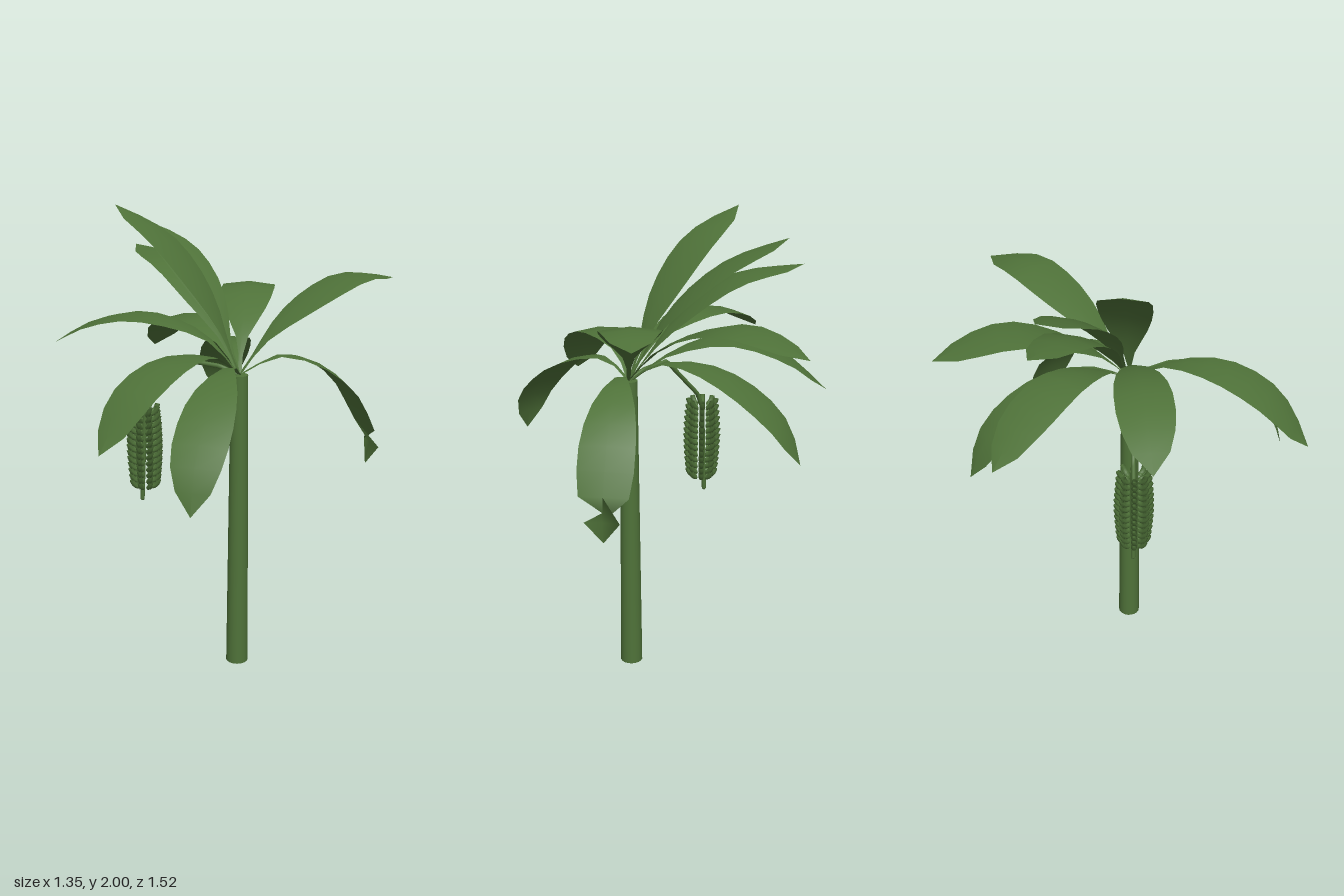
import * as THREE from 'three';
import { mergeGeometries } from 'three/addons/utils/BufferGeometryUtils.js';

const BASE = new THREE.Vector3(0.146, 1.33, 0.031);
const HALF_WIDTHS = [0.008, 0.009, 0.026, 0.06, 0.09, 0.109, 0.118, 0.118, 0.105, 0.074, 0];

// Each leaf: tip position, then [fraction of reach, height] points along the midrib
const LEAVES = [
  { tip: [-0.43, 2.0, -0.025], arc: [[0.25, 1.64], [0.6, 1.875]], width: 0.9 },
  { tip: [-0.42, 1.9, -0.325], arc: [[0.25, 1.6], [0.6, 1.795]], width: 0.9 },
  { tip: [-0.485, 1.79, -0.355], arc: [[0.28, 1.58], [0.6, 1.745]], width: 0.9 },
  { tip: [-0.68, 1.415, 0.09], arc: [[0.18, 1.485], [0.53, 1.565], [0.8, 1.515]], width: 0.96 },
  { tip: [-0.47, 1.29, -0.515], arc: [[0.24, 1.46], [0.5, 1.515], [0.8, 1.435]], width: 0.96 },
  { tip: [-0.155, 1.17, 0.76], arc: [[0.16, 1.42], [0.37, 1.465], [0.57, 1.45], [0.8, 1.36]], width: 0.96 },
  { tip: [0.19, 0.955, 0.712], arc: [[0.1, 1.375], [0.25, 1.4], [0.54, 1.35], [0.76, 1.25], [0.93, 1.12]], width: 0.94 },
  { tip: [-0.18, 1.06, -0.64], arc: [[0.2, 1.42], [0.45, 1.42], [0.7, 1.34], [0.9, 1.21]], width: 0.96 },
  { tip: [0.65, 1.67, -0.575], arc: [[0.2, 1.5], [0.5, 1.645], [0.74, 1.705]], width: 1 },
  { tip: [-0.06, 1.545, -0.765], arc: [[0.16, 1.47], [0.42, 1.59], [0.61, 1.628], [0.8, 1.605]], width: 1 },
  { tip: [0.61, 0.87, -0.355], arc: [[0.3, 1.4], [0.6, 1.35], [0.84, 1.23], [0.96, 1.1], [1.03, 1.0]], width: 0.93, twisted: true },
];

// Blade with a slightly raised midrib, swept along a drooping curve
function leafGeometry({ tip, arc, width, twisted }) {
  const end = new THREE.Vector3(...tip);
  const along = arc.map(([u, y]) => BASE.clone().lerp(end, u).setY(y));
  const curve = new THREE.CatmullRomCurve3([BASE, ...along, end]);
  const side = new THREE.Vector3(end.z - BASE.z, 0, BASE.x - end.x).normalize();
  const last = HALF_WIDTHS.length - 1;
  const positions = [];
  const index = [];
  HALF_WIDTHS.forEach((w, i) => {
    const p = curve.getPointAt(i / last);
    const normal = new THREE.Vector3().crossVectors(side, curve.getTangentAt(i / last));
    if (normal.y < 0) normal.negate();
    // the twisted leaf turns over just before its tip
    const half = w * width * (twisted && i === last - 1 ? -1 : 1);
    for (const s of [-1, 0, 1]) {
      const v = p.clone().addScaledVector(side, s * half);
      if (s !== 0) v.addScaledVector(normal, -0.12 * Math.abs(half));
      positions.push(v.x, v.y, v.z);
    }
    if (i === last) return;
    for (const a of [i * 3, i * 3 + 1]) index.push(a, a + 3, a + 1, a + 1, a + 3, a + 4);
  });
  const g = new THREE.BufferGeometry();
  g.setAttribute('position', new THREE.Float32BufferAttribute(positions, 3));
  g.setIndex(index);
  g.computeVertexNormals();
  return g;
}

// Columns of plump fingers slanting outward and up around the hanging stem
function bunchGeometry() {
  const rows = 13, columns = 8, parts = [];
  for (let r = 0; r < rows; r++) {
    const t = r / (rows - 1);
    const reach = 0.063 + 0.011 * Math.sin(Math.PI * t);
    const y = 0.785 + 0.335 * t;
    for (let c = 0; c < columns; c++) {
      const finger = new THREE.TubeGeometry(new THREE.QuadraticBezierCurve3(
        new THREE.Vector3(0.034, 0, 0),
        new THREE.Vector3(reach - 0.008, 0.003, 0),
        new THREE.Vector3(reach, 0.034, 0)), 4, 0.0115, 6);
      finger.rotateY((c / columns) * Math.PI * 2);
      finger.translate(-0.288, y, 0.035);
      parts.push(finger);
    }
  }
  return mergeGeometries(parts);
}

export function createModel() {
  const model = new THREE.Group();
  const green = new THREE.MeshStandardMaterial({ color: 0x4f7239, side: THREE.DoubleSide });
  green.name = 'leaf green';
  const add = (name, geometry, parent = model) => {
    const mesh = new THREE.Mesh(geometry, green);
    mesh.name = name;
    parent.add(mesh);
    return mesh;
  };

  // Tapered trunk
  add('trunk', new THREE.CylinderGeometry(0.037, 0.049, 1.33, 18)).position.set(BASE.x, 0.665, BASE.z);

  // Crown of leaves
  const crown = new THREE.Group();
  crown.name = 'crown';
  model.add(crown);
  LEAVES.forEach((leaf, i) => add(`leaf${i + 1}`, leafGeometry(leaf), crown));

  // Fruit stem: out from the trunk, bent down, then hanging through the bunch
  const stem = new THREE.CurvePath();
  const bends = [[0.14, 1.33], [0.06, 1.36], [-0.07, 1.37], [-0.255, 1.185], [-0.285, 1.12], [-0.305, 0.72]]
    .map(([x, y]) => new THREE.Vector3(x, y, 0.033));
  for (let i = 1; i < bends.length; i++) stem.add(new THREE.LineCurve3(bends[i - 1], bends[i]));
  add('fruitStem', new THREE.TubeGeometry(stem, 40, 0.01, 8));
  add('stemTip', new THREE.SphereGeometry(0.01, 8, 6)).position.copy(bends[bends.length - 1]);

  // Hanging fruit
  add('fruitBunch', bunchGeometry());
  return model;
}
